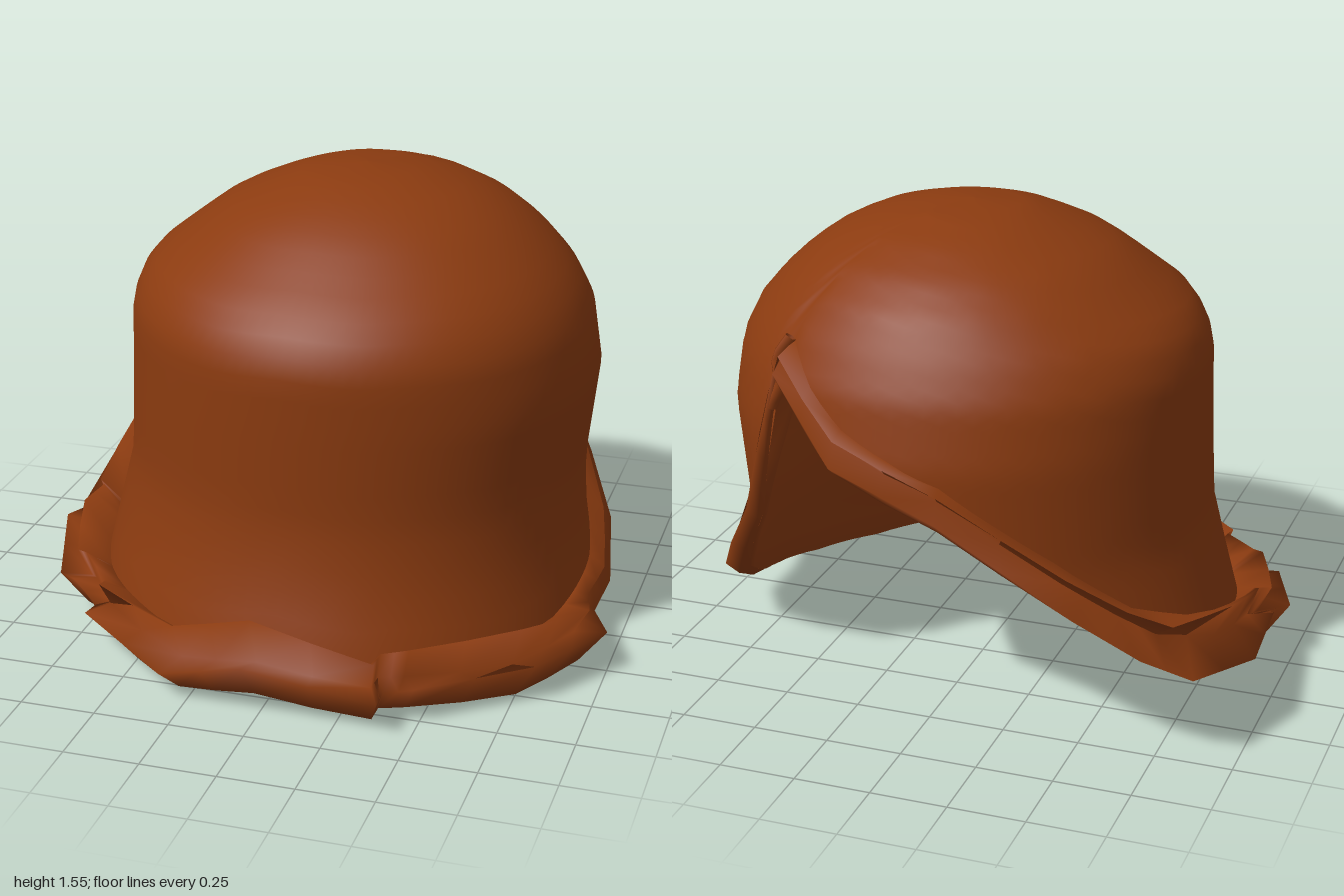
import * as THREE from 'three';

const CX = 0.07, CZ = -0.12, TOP = 1.55;

// Crown cross-sections: height, then right, left, back and front extents
const CROWN = [
  [1.55, 0.07, 0.07, -0.12, -0.12],
  [1.54, -0.1, 0.25, -0.3, 0.04],
  [1.49, -0.24, 0.43, -0.47, 0.2],
  [1.42, -0.4, 0.56, -0.61, 0.34],
  [1.33, -0.52, 0.67, -0.72, 0.46],
  [1.22, -0.66, 0.77, -0.79, 0.6],
  [1.1, -0.71, 0.83, -0.85, 0.67],
  [0.9, -0.715, 0.86, -0.89, 0.665],
  [0.55, -0.73, 0.82, -0.88, 0.65],
  [0.35, -0.78, 0.83, -0.87, 0.68],
  [0.15, -0.83, 0.87, -0.85, 0.74],
  [0, -0.85, 0.9, -0.83, 0.77],
];

// Ragged brim: outer x, outer z, outer tip height, upper fold height, bottom height
const BRIM = [
  [-0.03, 0.94, 0.2, 0.33, 0.06], [0.4, 0.9, 0.12, 0.22, 0.01],
  [0.4, 0.82, 0.12, 0.23, 0.03], [0.49, 0.79, 0.13, 0.24, 0.03],
  [0.82, 0.53, 0.13, 0.24, 0], [1, 0.27, 0.15, 0.21, 0.02],
  [0.92, 0.07, 0.12, 0.18, 0.05], [0.93, -0.15, 0.13, 0.18, 0.09],
  [0.88, -0.4, 0.25, 0.29, 0.21], [0.77, -0.57, 0.42, 0.47, 0.39],
  [0.64, -0.71, 0.62, 0.68, 0.58], [0.56, -0.78, 0.86, 0.92, 0.82],
  [0.5, -0.77, 1.12, 1.17, 1.08], [0.25, -0.93, 0.9, 0.98, 0.87],
  [-0.1, -0.95, 0.77, 0.85, 0.73], [-0.53, -0.92, 0.51, 0.61, 0.47],
  [-0.73, -0.86, 0.38, 0.5, 0.35], [-0.88, -0.8, 0.31, 0.44, 0.27],
  [-1, -0.5, 0.26, 0.41, 0.18], [-0.96, -0.08, 0.22, 0.3, 0.1],
  [-0.93, -0.06, 0.21, 0.29, 0.08], [-0.99, 0.03, 0.2, 0.26, 0.07],
  [-0.87, 0.38, 0.15, 0.23, 0.03], [-0.82, 0.39, 0.14, 0.23, 0.03],
  [-0.68, 0.53, 0.13, 0.21, 0.03], [-0.7, 0.58, 0.12, 0.21, 0.03],
  [-0.33, 0.87, 0.1, 0.24, 0.01],
];

const mix = THREE.MathUtils.lerp;
const TURN = Math.PI * 2;
const LIP = 0.025;

// Brim stations sorted by angle, with one repeated on each side to close the loop
const stations = BRIM
  .map((row) => ({ row, angle: (Math.atan2(row[0] - CX, row[1] - CZ) + TURN) % TURN }))
  .sort((a, b) => a.angle - b.angle);
const last = stations[stations.length - 1];
const loop = [
  { row: last.row, angle: last.angle - TURN },
  ...stations,
  { row: stations[0].row, angle: stations[0].angle + TURN },
];

function brimAt(angle) {
  let i = 0;
  while (i < loop.length - 2 && loop[i + 1].angle < angle) i++;
  const a = loop[i], b = loop[i + 1];
  const t = (angle - a.angle) / (b.angle - a.angle);
  return a.row.map((v, k) => mix(v, b.row[k], t));
}

// Point of the crown wall at an angle (0 = front, quarter turn = +x) and height
function wallAt(angle, y) {
  let i = 0;
  while (i < CROWN.length - 2 && CROWN[i + 1][0] > y) i++;
  const a = CROWN[i], b = CROWN[i + 1];
  const t = (y - a[0]) / (b[0] - a[0]);
  const [, x0, x1, z0, z1] = a.map((v, k) => mix(v, b[k], t));
  const s = Math.sin(angle), c = Math.cos(angle);
  return new THREE.Vector3(
    CX + s * (s > 0 ? x1 - CX : CX - x0), y,
    CZ + c * (c > 0 ? z1 - CZ : CZ - z0));
}

// Point of the rounded lining inside the crown
const LINING_TOP = 1.47, LINING_BEND = 0.6;
function liningAt(angle, y) {
  const p = wallAt(angle, Math.min(y, LINING_BEND));
  const u = Math.min(1, Math.max(0, (y - LINING_BEND) / (LINING_TOP - LINING_BEND)));
  const scale = 0.98 * Math.pow(1 - Math.pow(u, 2.5), 0.4);
  return new THREE.Vector3(mix(CX, p.x, scale), y, mix(CZ, p.z, scale));
}

// Skins a closed loop of cross-sections, each running from top to bottom
function skin(sections) {
  const n = sections[0].length, count = sections.length;
  const index = [];
  for (let i = 0; i < count; i++) {
    for (let j = 0; j < n - 1; j++) {
      const a = i * n + j, b = ((i + 1) % count) * n + j;
      index.push(a, a + 1, b, b, a + 1, b + 1);
    }
  }
  const geometry = new THREE.BufferGeometry().setFromPoints(sections.flat());
  geometry.setIndex(index);
  geometry.computeVertexNormals();
  return geometry;
}

// Dome from its top down to the slanting rim, following pointAt(angle, y)
function domeGeometry(pointAt, top) {
  const sections = [], columns = 96, rows = 24;
  for (let i = 0; i < columns; i++) {
    const angle = (i / columns) * TURN;
    const rim = brimAt(angle)[4] + LIP;
    const section = [];
    for (let j = 0; j <= rows; j++) {
      section.push(pointAt(angle, mix(top, rim, Math.pow(j / rows, 1.6))));
    }
    section.push(wallAt(angle, rim));
    sections.push(section);
  }
  return skin(sections);
}

function brimGeometry() {
  const sections = [];
  stations.forEach((station, i) => {
    const next = loop[i + 2].angle;
    for (const t of [0, 0.5]) {
      const angle = mix(station.angle, next, t);
      const [x, z, tip, fold, bottom] = brimAt(angle);
      // Moves out from the wall towards the ragged edge
      const out = (amount, y) => {
        const p = wallAt(angle, y);
        return new THREE.Vector3(mix(p.x, x, amount), y, mix(p.z, z, amount));
      };
      sections.push([
        wallAt(angle, bottom + 0.13), out(0.68, fold), out(0.38, bottom + 0.1),
        out(1, tip), out(0.42, bottom), wallAt(angle, bottom + LIP),
      ]);
    }
  });
  return skin(sections);
}

export function createModel() {
  const model = new THREE.Group();
  model.name = 'feltHat';
  const felt = new THREE.MeshStandardMaterial({ color: 0x8b3b10, side: THREE.DoubleSide });
  felt.name = 'brown felt';

  const add = (name, geometry) => {
    const mesh = new THREE.Mesh(geometry, felt);
    mesh.name = name;
    model.add(mesh);
  };

  add('crown', domeGeometry(wallAt, TOP));
  add('lining', domeGeometry(liningAt, LINING_TOP));
  add('foldedBrim', brimGeometry());

  // Crumpled seam above the slit at the back
  const seam = new THREE.CatmullRomCurve3([
    new THREE.Vector3(0.47, 1.22, -0.69), new THREE.Vector3(0.51, 1.15, -0.71),
    new THREE.Vector3(0.49, 1.08, -0.74), new THREE.Vector3(0.52, 1, -0.75),
  ]);
  add('backSeam', new THREE.TubeGeometry(seam, 8, 0.02, 5));

  return model;
}
